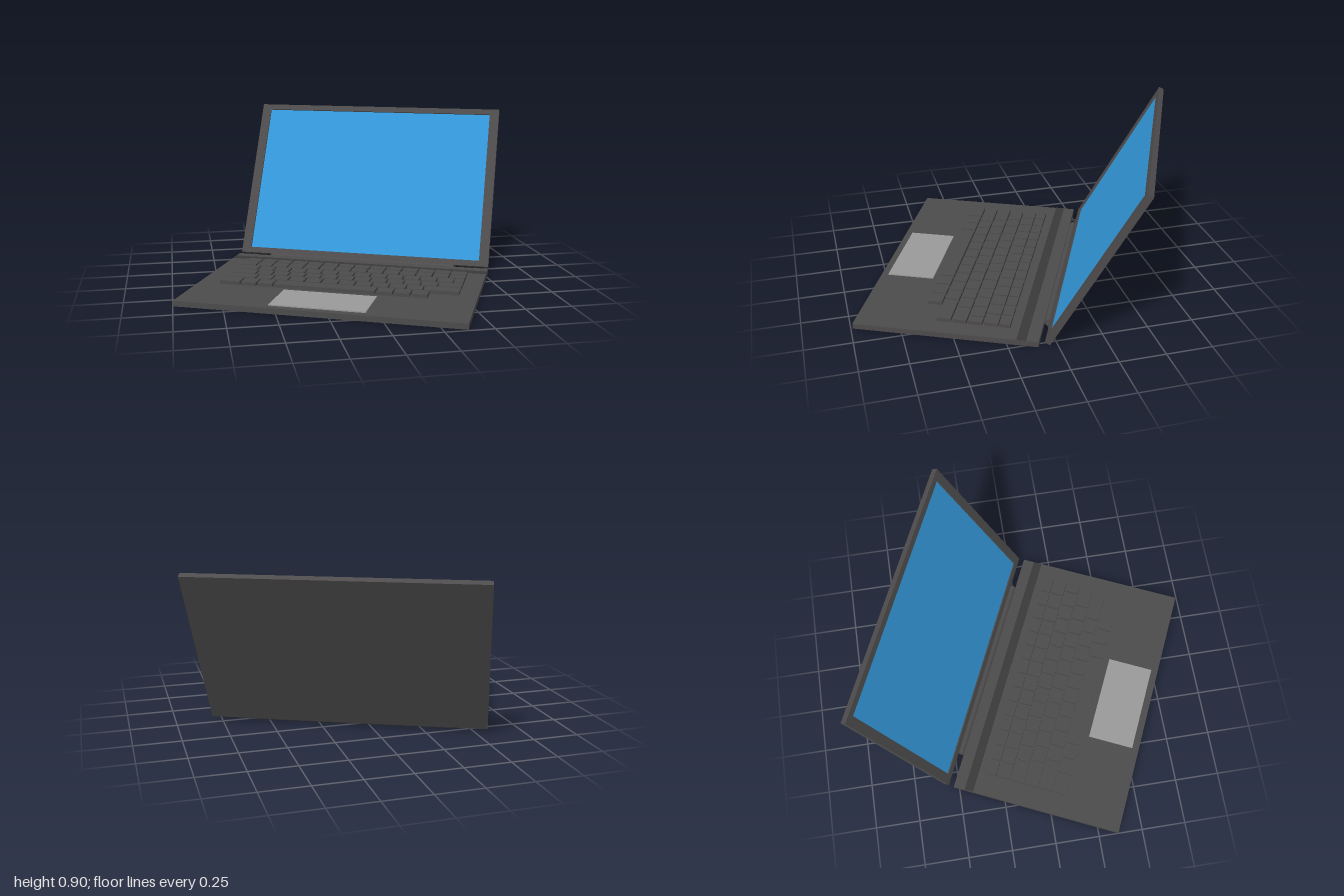
import * as THREE from 'three';

const mat = (color) => new THREE.MeshStandardMaterial({ color });

export function createModel() {
  const model = new THREE.Group();
  model.name = 'laptop';

  // Everything is built square-on, then turned as a whole
  const laptop = new THREE.Group();
  laptop.name = 'turnedLaptop';
  laptop.position.set(-0.11, 0, 0.23);
  laptop.rotation.y = THREE.MathUtils.degToRad(-24.7);
  model.add(laptop);

  const body = mat(0x4d4b4b);
  const dark = mat(0x3a3939);
  const silver = mat(0x999999);
  const blue = mat(0x3498db);

  // Box given by its limits on each axis
  const box = (parent, name, material, x0, x1, y0, y1, z0, z1) => {
    const mesh = new THREE.Mesh(new THREE.BoxGeometry(x1 - x0, y1 - y0, z1 - z0), material);
    mesh.position.set((x0 + x1) / 2, (y0 + y1) / 2, (z0 + z1) / 2);
    mesh.name = name;
    parent.add(mesh);
    return mesh;
  };

  // Base, vent strip and touchpad
  const top = 0.03;
  box(laptop, 'base', body, -0.754, 0.754, 0, top, -0.49, 0.49);
  box(laptop, 'ventStrip', dark, -0.753, 0.753, top - 0.005, top + 0.002, -0.425, -0.375);
  box(laptop, 'touchpad', silver, -0.255, 0.247, top - 0.005, top + 0.006, 0.19, 0.451);

  // Keyboard: each row lists its key widths in units of one key
  const keyboard = new THREE.Group();
  keyboard.name = 'keyboard';
  laptop.add(keyboard);
  const unit = 0.0925, gap = 0.01, left = -0.63;
  const ones = (n) => Array(n).fill(1);
  const rows = [
    { z: -0.326, depth: 0.055, keys: ones(14) },
    { z: -0.262, depth: 0.074, keys: ones(14) },
    { z: -0.178, depth: 0.074, keys: [1.4, ...ones(12), 0.6] },
    { z: -0.094, depth: 0.074, keys: [1.6, ...ones(11), 1.4] },
    { z: -0.010, depth: 0.074, keys: [1.9, ...ones(10), 2.1] },
    { z: 0.074, depth: 0.076, keys: [1.3, 1, 1, 6.05, 1, 1, 1] },
  ];
  for (const { z, depth, keys } of rows) {
    let x = left;
    for (const w of keys) {
      box(keyboard, 'key', body, x, x + w * unit - gap, top - 0.002, top + 0.02, z, z + depth);
      x += w * unit;
    }
  }

  // Hinge barrel between base and lid
  const hinge = new THREE.Mesh(new THREE.CylinderGeometry(0.019, 0.019, 1.11, 20), body);
  hinge.name = 'hinge';
  hinge.rotation.z = Math.PI / 2;
  hinge.position.set(0, 0.02, -0.508);
  laptop.add(hinge);

  // Lid, leaning back; its front face lies at z = 0 in its own frame
  const lid = new THREE.Group();
  lid.name = 'lid';
  lid.position.set(0, 0.032, -0.52);
  lid.rotation.x = THREE.MathUtils.degToRad(-28.2);
  laptop.add(lid);
  const W = 0.752, H = 0.98, recess = 0.01;
  box(lid, 'lidBack', body, -W, W, 0, H, -0.031, -recess);

  const rect = (path, x, y0, y1) => {
    path.moveTo(-x, y0);
    path.lineTo(x, y0);
    path.lineTo(x, y1);
    path.lineTo(-x, y1);
    path.closePath();
    return path;
  };
  const frame = rect(new THREE.Shape(), W, 0, H);
  frame.holes.push(rect(new THREE.Path(), 0.697, 0.034, H - 0.034));
  const bezel = new THREE.Mesh(
    new THREE.ExtrudeGeometry(frame, { depth: recess, bevelEnabled: false }), body);
  bezel.name = 'bezel';
  bezel.position.z = -recess;
  lid.add(bezel);

  // Recessed screen
  box(lid, 'screen', blue, -0.697, 0.697, 0.034, H - 0.034, -recess - 0.002, -recess + 0.002);

  return model;
}
